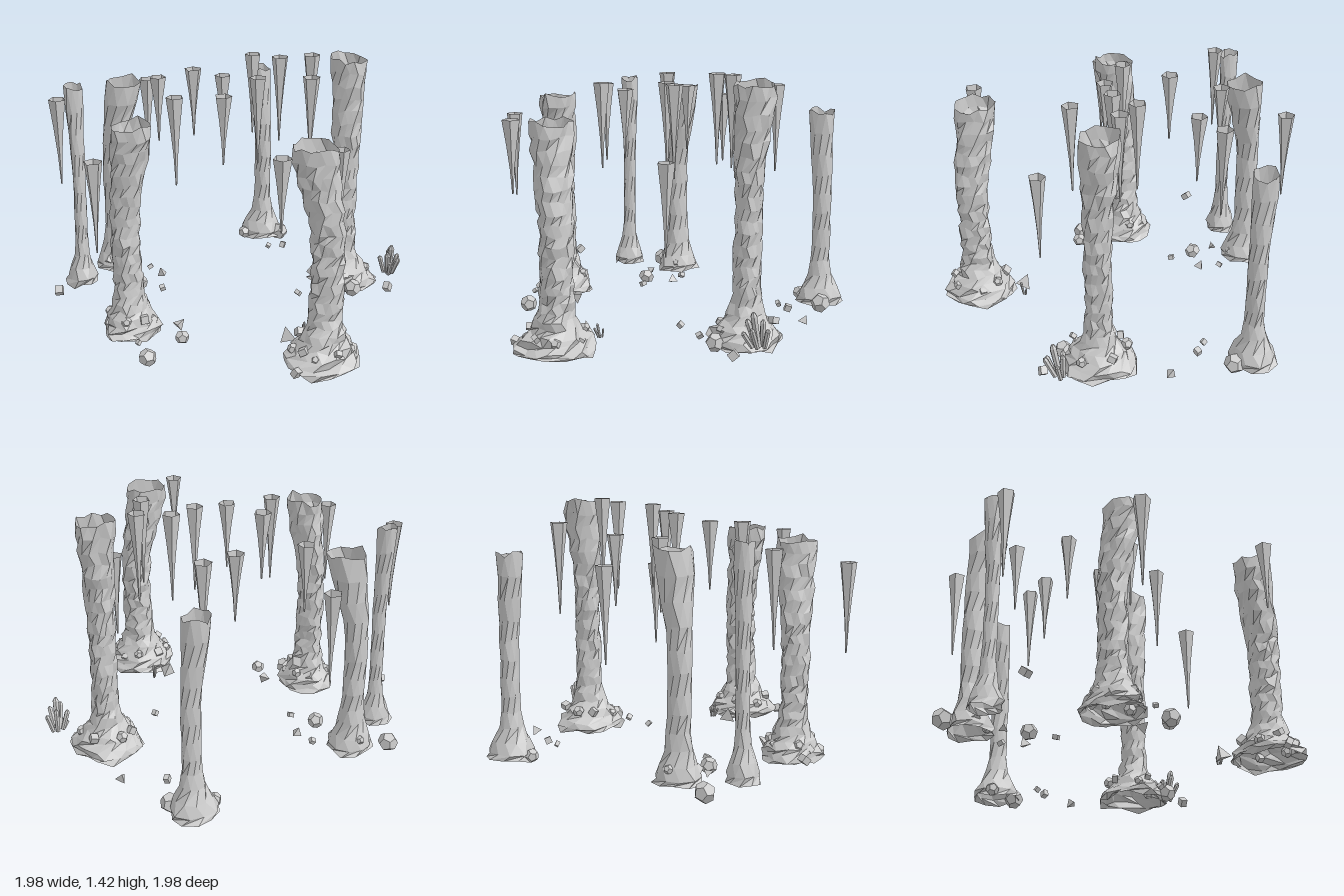
import * as THREE from 'three';

const stone = new THREE.MeshStandardMaterial({ color: 0xcccccc, flatShading: true, side: THREE.DoubleSide });

function seeded(seed) {
  let s = seed * 7919 + 17;
  return () => (s = (s * 16807) % 2147483647) / 2147483647;
}

function add(group, name, geometry, x, y, z) {
  const mesh = new THREE.Mesh(geometry, stone);
  mesh.name = name;
  mesh.position.set(x, y, z);
  group.add(mesh);
  return mesh;
}

// Hollow column: a tube with a spreading foot, a flared rim, a lean and rough skin
function column({ foot, lean, sway, y0, y1, radii, segs, rows, rough }, seed) {
  const rand = seeded(seed);
  const jitter = (a) => (rand() * 2 - 1) * a;
  const [footR, shaftR, rimR] = radii;
  const geometry = new THREE.CylinderGeometry(1, 1, 1, segs, rows, true);
  const p = geometry.attributes.position;
  for (let r = 0; r <= rows; r++) {
    const t = Math.pow(1 - r / rows, 1.35);
    const h = t * (y1 - y0);
    const top = THREE.MathUtils.smoothstep(t, 0.55, 1);
    const spread = Math.exp(-Math.pow(h / 0.13, 2));
    const radius = shaftR + (footR - shaftR) * spread + (rimR - shaftR) * top;
    const cx = foot[0] + lean[0] * top + sway * Math.sin(Math.PI * t);
    const cz = foot[1] + lean[1] * top;
    const edge = r === 0 || r === rows;
    for (let s = 0; s < segs; s++) {
      const a = ((s + (r % 2) * 0.5) / segs) * Math.PI * 2;
      const d = radius * (1 + 0.05 * Math.sin(a * 3 + seed + t * 2) + jitter(edge ? 0.1 : rough));
      const y = y0 + h + jitter(edge ? 0.018 : rough * 0.08);
      const i = r * (segs + 1) + s;
      p.setXYZ(i, cx + Math.sin(a) * d, y, cz + Math.cos(a) * d);
      // close the seam
      if (s === 0) p.setXYZ(i + segs, p.getX(i), p.getY(i), p.getZ(i));
    }
  }
  geometry.computeVertexNormals();
  return geometry;
}

// Open five-sided spike tapering downwards in a concave curve
function spike(length) {
  const profile = [];
  for (let i = 0; i <= 3; i++) {
    const t = i / 3;
    profile.push(new THREE.Vector2(0.004 + 0.043 * Math.pow(t, 1.5), (t - 1) * length));
  }
  return new THREE.LatheGeometry(profile, 5);
}

// Fan of six-sided crystals with blunt points
function crystalCluster(name, count, size) {
  const cluster = new THREE.Group();
  cluster.name = name;
  for (let i = 0; i < count; i++) {
    const a = i * 2.4;
    const out = Math.sqrt(i / count);
    const radius = size * (0.11 - 0.03 * out);
    const length = size * (1 - 0.5 * out);
    const pivot = new THREE.Group();
    pivot.position.set(Math.cos(a) * out * size * 0.22, 0, Math.sin(a) * out * size * 0.22);
    pivot.rotation.set(0.2 + Math.sin(a) * out * 0.4, 0, -Math.cos(a) * out * 0.4);
    add(pivot, 'crystal', new THREE.CylinderGeometry(radius, radius * 0.85, length, 6), 0, length / 2, 0);
    add(pivot, 'crystalPoint', new THREE.CylinderGeometry(radius * 0.4, radius, length * 0.12, 6), 0, length * 1.06, 0);
    cluster.add(pivot);
  }
  return cluster;
}

const rockShapes = {
  boulder: (r) => new THREE.DodecahedronGeometry(r),
  shard: (r) => new THREE.TetrahedronGeometry(r),
  block: (r) => new THREE.BoxGeometry(r * 1.35, r * 1.1, r * 1.35),
};

const rugged = { segs: 14, rows: 24, rough: 0.13 };
const smoother = { segs: 10, rows: 12, rough: 0.06 };

// radii: foot, shaft, rim; stones: how many are set into the foot
const columns = [
  { name: 'frontLeftColumn', foot: [-0.6, 0.3], lean: [0.03, 0.04], sway: -0.015, y0: 0.08, y1: 1.24, radii: [0.155, 0.074, 0.1], stones: 7, ...rugged },
  { name: 'frontColumn', foot: [0.32, 0.78], lean: [-0.055, -0.015], sway: 0.02, y0: 0.08, y1: 1.22, radii: [0.195, 0.083, 0.105], stones: 8, ...rugged },
  { name: 'rightColumn', foot: [0.66, -0.13], lean: [0.01, -0.02], sway: 0.005, y0: 0.07, y1: 1.4, radii: [0.19, 0.07, 0.1], stones: 6, ...rugged },
  { name: 'backLeftColumn', foot: [-0.61, -0.48], lean: [0.06, 0.02], sway: -0.01, y0: 0.09, y1: 1.24, radii: [0.125, 0.06, 0.1], stones: 3, ...smoother },
  { name: 'backColumn', foot: [0.33, -0.855], lean: [-0.03, -0.005], sway: 0.005, y0: 0.08, y1: 1.17, radii: [0.13, 0.05, 0.068], stones: 0, ...smoother },
  { name: 'thinLeftColumn', foot: [-0.835, -0.26], lean: [0, -0.01], sway: 0.01, y0: 0.11, y1: 1.27, radii: [0.09, 0.036, 0.05], stones: 0, ...smoother },
];

// Hanging spikes by length: [x, z, top]
const longSpikes = [
  [-0.39, -0.75, 1.16], [0.22, -0.61, 1.32], [0.29, -0.18, 1.41], [0.46, -0.16, 1.42], [-0.92, -0.15, 1.24],
  [0.13, 0.03, 1.36], [0.39, 0.14, 1.38], [0.53, 0.27, 1.02], [-0.33, 0.18, 1.32], [-0.77, 0.52, 1.12],
];
const shortSpikes = [[-0.36, -0.39, 1.27], [0.01, -0.4, 1.26], [-0.19, -0.16, 1.37], [-0.08, 0.17, 1.31], [0.08, 0.89, 1.22]];

// Loose stones on the ground: [x, z, radius]
const looseStones = {
  boulder: [[-0.83, -0.5, 0.055], [-0.51, -0.2, 0.045], [-0.35, 0.48, 0.038], [0.43, -0.79, 0.055], [0.21, -0.81, 0.038], [0.68, 0.07, 0.05]],
  shard: [[-0.61, -0.29, 0.028], [-0.37, -0.3, 0.035], [-0.35, 0.34, 0.04], [0.2, 0.56, 0.055], [0.64, -0.52, 0.035]],
  block: [[-0.43, -0.4, 0.022], [-0.39, -0.11, 0.022], [-0.58, 0.5, 0.018], [0.16, 0.93, 0.03], [0.32, -0.58, 0.02],
    [0.41, -0.58, 0.026], [0.36, 0.08, 0.022], [0.55, 0.08, 0.022], [0.88, 0.09, 0.032]],
};

export function createModel() {
  const model = new THREE.Group();
  model.name = 'caveColumns';
  const rand = seeded(41);
  const tumble = (mesh) => mesh.rotation.set(rand() * 3, rand() * 3, rand() * 3);

  // Columns, with stones set around their feet
  columns.forEach((c, i) => {
    add(model, c.name, column(c, i + 3), 0, 0, 0);
    for (let k = 0; k < c.stones; k++) {
      const a = ((k + rand() * 0.6) / c.stones) * Math.PI * 2;
      const ring = c.radii[0] * 0.74;
      const rock = rockShapes[k % 2 ? 'block' : 'boulder'](0.024 + rand() * 0.01);
      tumble(add(model, 'embeddedStone', rock, c.foot[0] + Math.cos(a) * ring, 0.14 + rand() * 0.05, c.foot[1] + Math.sin(a) * ring));
    }
  });

  // Hanging spikes
  for (const [list, length] of [[longSpikes, 0.48], [shortSpikes, 0.375]]) {
    list.forEach(([x, z, top], i) => {
      add(model, 'hangingSpike', spike(length), x, top, z).rotation.y = i * 0.9;
    });
  }

  // Loose stones, one lying low and one high
  for (const [shape, list] of Object.entries(looseStones)) {
    for (const [x, z, r] of list) tumble(add(model, shape + 'Stone', rockShapes[shape](r), x, 0.105, z));
  }
  tumble(add(model, 'lowStone', rockShapes.boulder(0.048), -0.54, 0.048, 0.56));
  tumble(add(model, 'highStone', rockShapes.block(0.032), -0.97, 0.2, 0.02));

  // Crystals
  const large = crystalCluster('largeCrystals', 7, 0.165);
  large.position.set(0.92, 0.14, -0.03);
  const small = crystalCluster('smallCrystals', 3, 0.07);
  small.position.set(0.29, 0.09, 0.52);
  model.add(large, small);

  return model;
}
